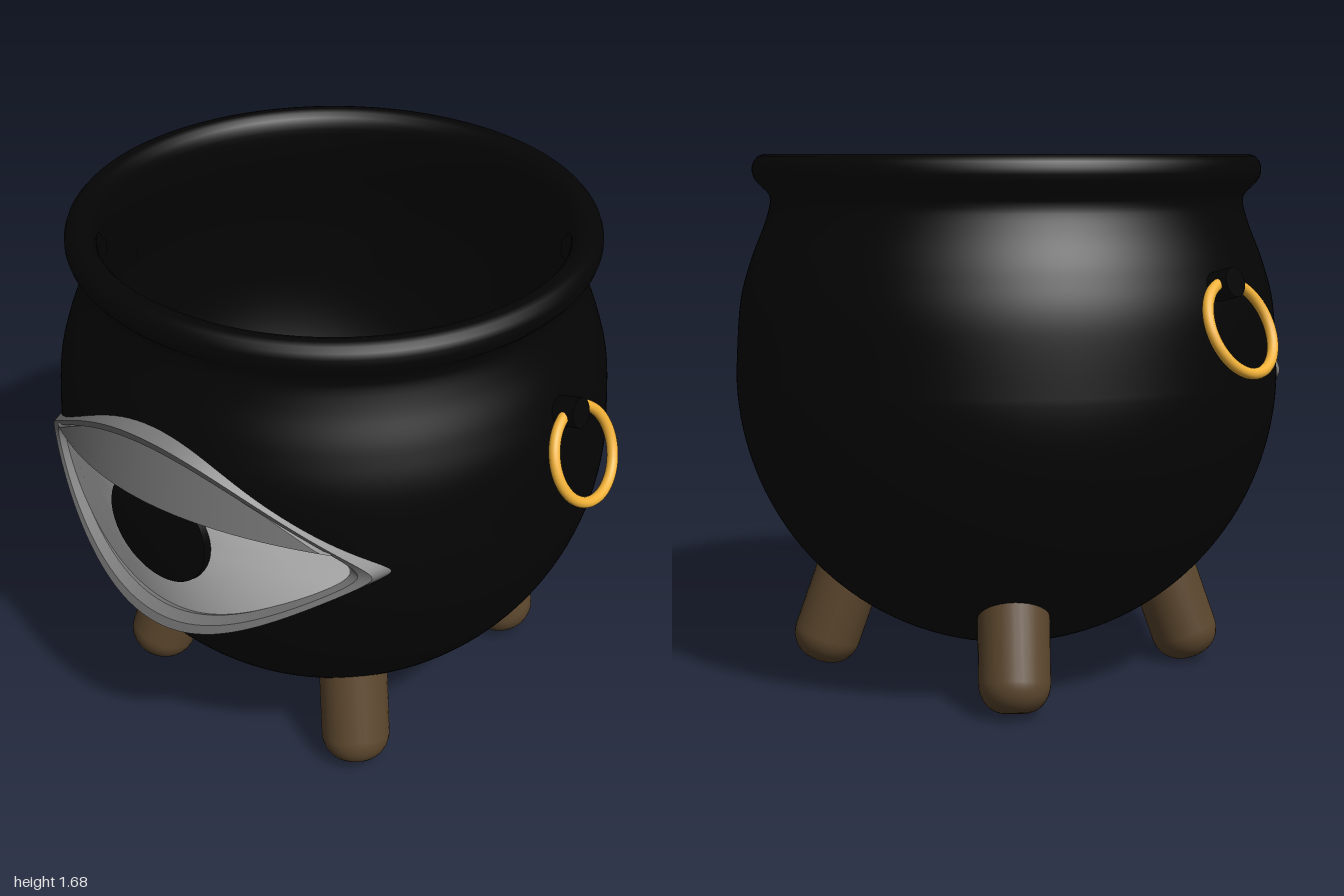
import * as THREE from 'three';
import { mergeGeometries } from 'three/addons/utils/BufferGeometryUtils.js';

const EYE_Y = 0.97;
const mat = (color) => new THREE.MeshStandardMaterial({ color, side: THREE.DoubleSide });

// Half height of the almond eye shape at u = x / half width; k rounds the corners
const almond = (u, k) => {
  const c = Math.min(1, Math.abs(u));
  return (1 - k) * Math.max(0, Math.cos(c * Math.PI / 2)) ** 1.3 + k * Math.sqrt(1 - c * c);
};

// Closed almond loop, bent backwards towards its corners
function eyeLoop(a, b, k, z, bend, bulge = 0) {
  const pts = [];
  for (let i = 0; i <= 128; i++) {
    const t = i / 128 * Math.PI * 2;
    const u = Math.cos(t);
    const x = a * u, dy = b * almond(u, k) * (Math.sin(t) < 0 ? -1 : 1);
    pts.push([x, EYE_Y + dy, z - bend * x * x - bulge * dy * dy]);
  }
  return pts;
}

// Closed round loop for the pupil
function discLoop(r, z, bend) {
  const pts = [];
  for (let i = 0; i <= 48; i++) {
    const t = i / 48 * Math.PI * 2;
    pts.push([r * Math.cos(t), EYE_Y + 0.005 + r * Math.sin(t), z - bend * r * r]);
  }
  return pts;
}

// Joins loops of points; each band is smooth inside and sharp at its borders
function loft(bands) {
  return mergeGeometries(bands.map((loops) => {
    const n = loops[0].length, index = [];
    for (let r = 0; r < loops.length - 1; r++) {
      for (let i = 0; i < n - 1; i++) {
        const a = r * n + i, b = a + n;
        index.push(a, a + 1, b, b, a + 1, b + 1);
      }
    }
    const g = new THREE.BufferGeometry();
    g.setAttribute('position', new THREE.Float32BufferAttribute(loops.flat(2), 3));
    g.setIndex(index);
    g.computeVertexNormals();
    return g;
  }));
}
const pairs = (loops) => loops.slice(1).map((l, i) => [loops[i], l]);

// Pot wall: a lathed profile with the eye opening cut from its front
function potGeometry() {
  const profile = [];
  for (let i = 0; i <= 40; i++) {
    const t = i / 40 * Math.PI / 2;
    profile.push(new THREE.Vector2(0.874 * Math.sin(t), 0.98 - 0.888 * Math.cos(t)));
  }
  const upper = [[0.874, 0.98], [0.858, 1.2], [0.823, 1.335], [0.778, 1.45], [0.756, 1.525], [0.764, 1.555],
    [0.79, 1.58], [0.808, 1.605], [0.812, 1.635], [0.798, 1.665], [0.77, 1.676], [0.74, 1.67],
    [0.72, 1.64], [0.715, 1.6], [0.722, 1.53], [0.746, 1.45], [0.792, 1.335], [0.828, 1.2], [0.844, 0.98]];
  const curve = new THREE.SplineCurve(upper.map((p) => new THREE.Vector2(...p)));
  profile.push(...curve.getSpacedPoints(80).slice(1));
  for (let i = 1; i <= 36; i++) {
    const t = i / 36 * Math.PI / 2;
    profile.push(new THREE.Vector2(0.844 * Math.cos(t), 0.98 - 0.858 * Math.sin(t)));
  }
  const g = new THREE.LatheGeometry(profile, 240);
  const p = g.attributes.position, src = g.index.array, kept = [];
  for (let i = 0; i < src.length; i += 3) {
    const tri = [src[i], src[i + 1], src[i + 2]];
    const mean = (get) => tri.reduce((s, v) => s + get(v), 0) / 3;
    const x = mean((v) => p.getX(v)), y = mean((v) => p.getY(v)), z = mean((v) => p.getZ(v));
    const inEye = z > 0.3 && Math.abs(x) < 0.63 && Math.abs(y - EYE_Y) < 0.333 * almond(x / 0.63, 0.3);
    if (!inEye) kept.push(...tri);
  }
  g.setIndex(kept);
  return g;
}

// Upper eyelid: a four-cornered section swept from one eye corner to the other
function lidGeometry() {
  const edges = [[], [], [], []];
  for (let i = 0; i <= 48; i++) {
    const x = -0.54 + 1.08 * i / 48, xx = x * x;
    const low = 1.085 - 0.13 * xx;
    const high = Math.max(low, EYE_Y + 0.3 * almond(x / 0.585, 0.42));
    const tilt = 0.2 * (high - low);
    const back = 0.54 - 0.33 * xx;
    edges[0].push([x, low, 0.875 - 0.58 * xx]);
    edges[1].push([x, high, 0.875 - tilt - 0.58 * xx]);
    edges[2].push([x, EYE_Y + 0.43 * almond(x / 0.62, 0.42), back]);
    edges[3].push([x, EYE_Y + 0.36 * almond(x / 0.62, 0.42), back]);
  }
  return loft(pairs([...edges, edges[0]]));
}

export function createModel() {
  const model = new THREE.Group();
  const black = mat(0x040404), grey = mat(0x777777), white = mat(0xcccccc);
  const gold = mat(0xf2b238), brown = mat(0x5b462d);
  const add = (name, geometry, material, parent = model) => {
    const mesh = new THREE.Mesh(geometry, material);
    mesh.name = name;
    parent.add(mesh);
    return mesh;
  };

  add('pot', potGeometry(), black);

  // Eye: a frame widening into the pot, with eyeball, pupil and lid
  const eye = new THREE.Group();
  eye.name = 'eye';
  model.add(eye);
  const backInner = eyeLoop(0.62, 0.42, 0.42, 0.49, 0.33);
  add('eyeFrame', loft(pairs([
    backInner,
    eyeLoop(0.7, 0.49, 0.3, 0.49, 0.33),
    eyeLoop(0.67, 0.363, 0.25, 0.8, 0.58),
    eyeLoop(0.638, 0.335, 0.28, 0.872, 0.58),
    eyeLoop(0.6, 0.306, 0.37, 0.862, 0.58),
    eyeLoop(0.563, 0.286, 0.45, 0.83, 0.58),
    backInner,
  ])), grey, eye);
  const ballFront = [1, 0.75, 0.5, 0.25, 0].map((s) => eyeLoop(0.57 * s, 0.292 * s, 0.45, 0.838, 0.58, 0.3));
  const ballBack = [0, 0.5, 1].map((s) => eyeLoop(0.61 * s, 0.41 * s, 0.45, 0.57, 0.33));
  add('eyeball', loft([ballBack, [ballBack[2], ballFront[0]], ballFront]), white, eye);
  const pupilFront = [1, 0.75, 0.5, 0.25, 0].map((s) => discLoop(0.185 * s, 0.865, 0.8));
  const pupilBack = [0, 1].map((s) => discLoop(0.245 * s, 0.55, 0.33));
  add('pupil', loft([pupilBack, [pupilBack[1], pupilFront[0]], pupilFront]), black, eye);
  add('upperEyelid', lidGeometry(), grey, eye);

  // Ring handles hanging from lugs
  for (const s of [1, -1]) {
    const side = s > 0 ? 'left' : 'right';
    const lug = new THREE.CylinderGeometry(0.045, 0.045, 0.1, 24).rotateZ(-s * 1.31);
    add(side + 'HandleLug', lug, black).position.set(s * 0.855, 1.296, 0);
    const ring = new THREE.TorusGeometry(0.142, 0.017, 16, 64).rotateY(Math.PI / 2).rotateZ(s * 0.42);
    add(side + 'HandleRing', ring, gold).position.set(s * 0.925, 1.177, 0);
  }

  // Legs: hollow tubes with rounded feet, leaning in through the pot wall
  const foot = [new THREE.Vector2(0, 0)];
  for (let i = 0; i <= 10; i++) {
    const t = i / 10 * Math.PI / 2;
    foot.push(new THREE.Vector2(0.03 + 0.08 * Math.sin(t), 0.09 - 0.09 * Math.cos(t)));
  }
  foot.push(new THREE.Vector2(0.11, 0.48));
  const legGeometry = new THREE.LatheGeometry(foot, 32);
  const up = new THREE.Vector3(0, 1, 0);
  for (const sx of [1, -1]) {
    for (const sz of [1, -1]) {
      const leg = add((sz > 0 ? 'front' : 'back') + (sx > 0 ? 'Left' : 'Right') + 'Leg', legGeometry, brown);
      leg.position.set(sx * 0.442, 0.014, sz * 0.442);
      leg.quaternion.setFromUnitVectors(up, new THREE.Vector3(-sx * 0.25, 1, -sz * 0.25).normalize());
    }
  }
  return model;
}
